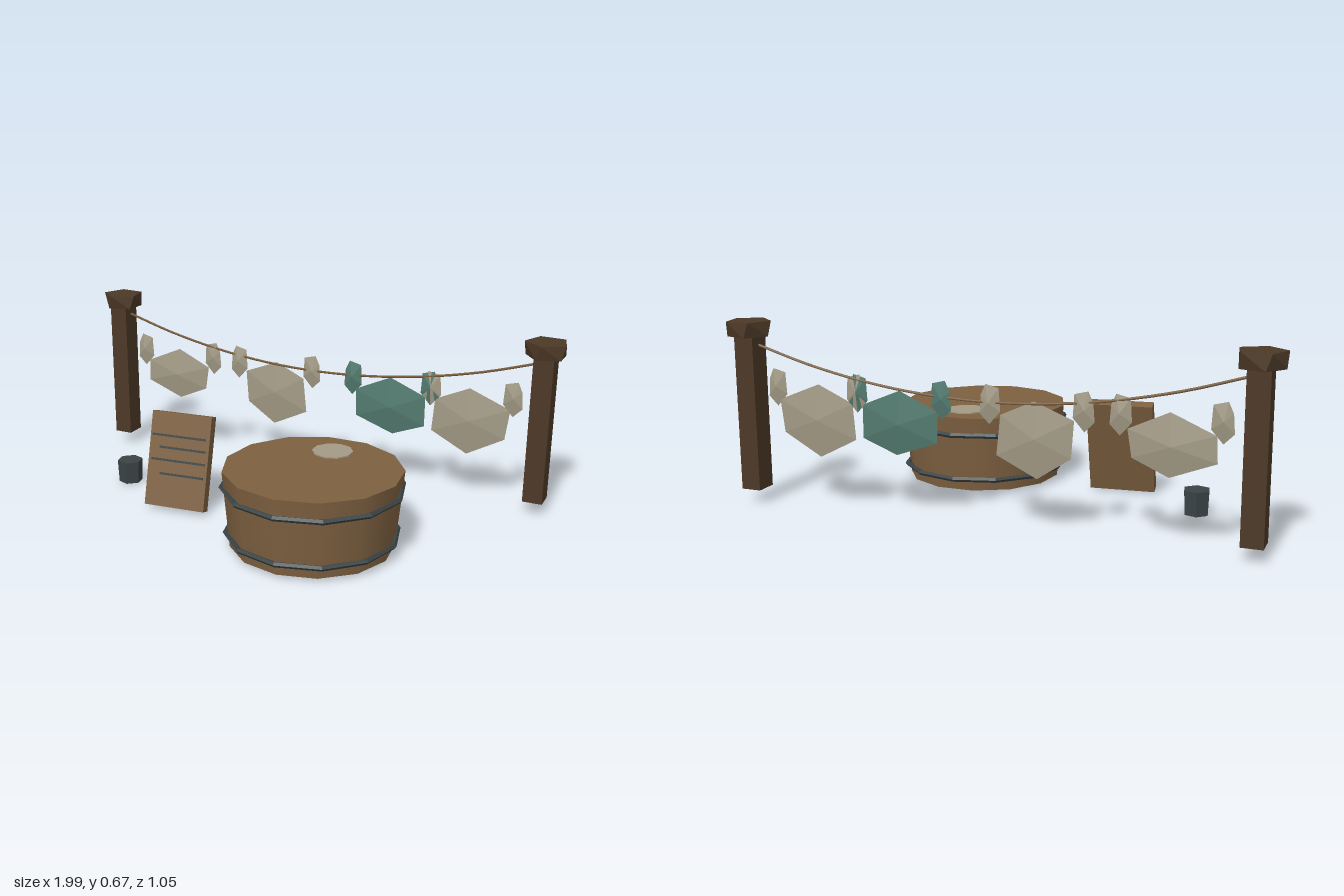
import * as THREE from 'three';
import { ConvexGeometry } from 'three/addons/geometries/ConvexGeometry.js';

const mat = (name, color, flatShading = true) => {
  const m = new THREE.MeshStandardMaterial({ color, flatShading });
  m.name = name;
  return m;
};

export function createModel() {
  const root = new THREE.Group();
  root.name = 'washDay';
  const wood = mat('wood', 0x7d6040, false);
  const darkWood = mat('darkWood', 0x4d3927);
  const iron = mat('iron', 0x3a4345);
  const linen = mat('linen', 0xa39b86);
  const teal = mat('tealCloth', 0x527a6f);
  const LINE_Z = -0.44;

  const add = (name, geometry, material, x = 0, y = 0, z = 0, parent = root) => {
    const mesh = new THREE.Mesh(geometry, material);
    mesh.name = name;
    mesh.position.set(x, y, z);
    parent.add(mesh);
    return mesh;
  };

  // Posts with twisted five-sided caps
  const capPoints = [];
  for (let i = 0; i < 5; i++) {
    for (const [y, r, turn] of [[0.67, 0.082, 167], [0.615, 0.077, 180]]) {
      const a = THREE.MathUtils.degToRad(turn + i * 72);
      capPoints.push(new THREE.Vector3(r * Math.cos(a), y, r * Math.sin(a)));
    }
  }
  for (const [side, x] of [['right', -0.918], ['left', 0.912]]) {
    add(side + 'Post', new THREE.BoxGeometry(0.075, 0.57, 0.083), darkWood, x, 0.335, LINE_Z);
    add(side + 'PostCap', new ConvexGeometry(capPoints), darkWood, x, 0, LINE_Z);
  }

  // Sagging clothes line
  const ropePoints = [];
  for (let i = -4; i <= 4; i++) {
    const x = i * 0.225;
    ropePoints.push(new THREE.Vector3(x, 0.44 + 0.185 * x * x, LINE_Z));
  }
  add('clothesLine', new THREE.TubeGeometry(new THREE.CatmullRomCurve3(ropePoints), 32, 0.005, 5), wood);

  // Lens-like cloth: a flat outline that swells towards its centre
  const cloth = (outline, depth) => {
    const pts = outline.map(([x, y]) => new THREE.Vector3(x, y, 0));
    const c = pts.reduce((s, p) => s.add(p), new THREE.Vector3()).divideScalar(pts.length);
    for (const z of [-depth, depth]) pts.push(new THREE.Vector3(c.x, c.y, z));
    return new ConvexGeometry(pts);
  };
  const sleeve = [[-0.035, 0.03], [-0.018, 0.067], [0.03, 0.055], [0.035, -0.025], [-0.005, -0.07], [-0.04, -0.035]];
  const garments = [
    [linen, -0.805, -0.48, [[-0.79, 0.39], [-0.64, 0.455], [-0.5, 0.39], [-0.515, 0.295], [-0.64, 0.24], [-0.795, 0.3]]],
    [linen, -0.35, -0.025, [[-0.32, 0.4], [-0.18, 0.455], [-0.06, 0.4], [-0.045, 0.26], [-0.19, 0.19], [-0.31, 0.27]]],
    [teal, 0.16, 0.475, [[0.17, 0.39], [0.315, 0.455], [0.46, 0.395], [0.46, 0.275], [0.33, 0.225], [0.175, 0.28]]],
    [linen, 0.487, 0.8, [[0.5, 0.395], [0.635, 0.455], [0.795, 0.39], [0.78, 0.27], [0.635, 0.19], [0.49, 0.265]]],
  ];
  garments.forEach(([material, x0, x1, outline], i) => {
    const g = new THREE.Group();
    g.name = 'garment' + (i + 1);
    add('body', cloth(outline, 0.016), material, 0, 0, LINE_Z, g);
    add('rightSleeve', cloth(sleeve, 0.012), material, x0, 0.435, LINE_Z, g);
    add('leftSleeve', cloth(sleeve.map(([x, y]) => [-x, y]), 0.012), material, x1, 0.435, LINE_Z, g);
    root.add(g);
  });

  // Wash tub with iron hoops and a pale patch of suds
  const tub = new THREE.Group();
  tub.name = 'washTub';
  tub.position.set(0.27, 0, 0.2);
  root.add(tub);
  add('tubBody', new THREE.CylinderGeometry(0.322, 0.296, 0.283, 13), wood, 0, 0.1525, 0, tub);
  for (const [name, r, y] of [['upperHoop', 0.322, 0.228], ['lowerHoop', 0.309, 0.055]]) {
    const hoop = new THREE.TorusGeometry(r, 0.01, 5, 12).rotateX(Math.PI / 2);
    add(name, hoop, iron, 0, y, 0, tub);
  }
  add('suds', new THREE.CylinderGeometry(0.075, 0.075, 0.006, 10), linen, 0, 0.296, -0.175, tub);

  // Leaning washboard with dark ridges
  const board = new THREE.Group();
  board.name = 'washboard';
  board.position.set(-0.325, 0.186, 0.108);
  board.rotation.set(-0.28, 0.1, 0, 'YXZ');
  root.add(board);
  add('boardPanel', new THREE.BoxGeometry(0.245, 0.362, 0.042), wood, 0, 0, 0, board);
  for (const [x, y, w] of [[-0.005, 0.092, 0.22], [0.015, 0.046, 0.19], [0, -0.002, 0.22], [0.02, -0.055, 0.18]]) {
    add('ridge', new THREE.BoxGeometry(w, 0.008, 0.008), iron, x, y, 0.021, board);
  }

  // Small dark block on the ground
  const block = add('block', new THREE.CylinderGeometry(0.051, 0.047, 0.09, 6), iron, -0.645, 0.045, -0.032);
  block.rotation.y = 0.2;

  return root;
}
